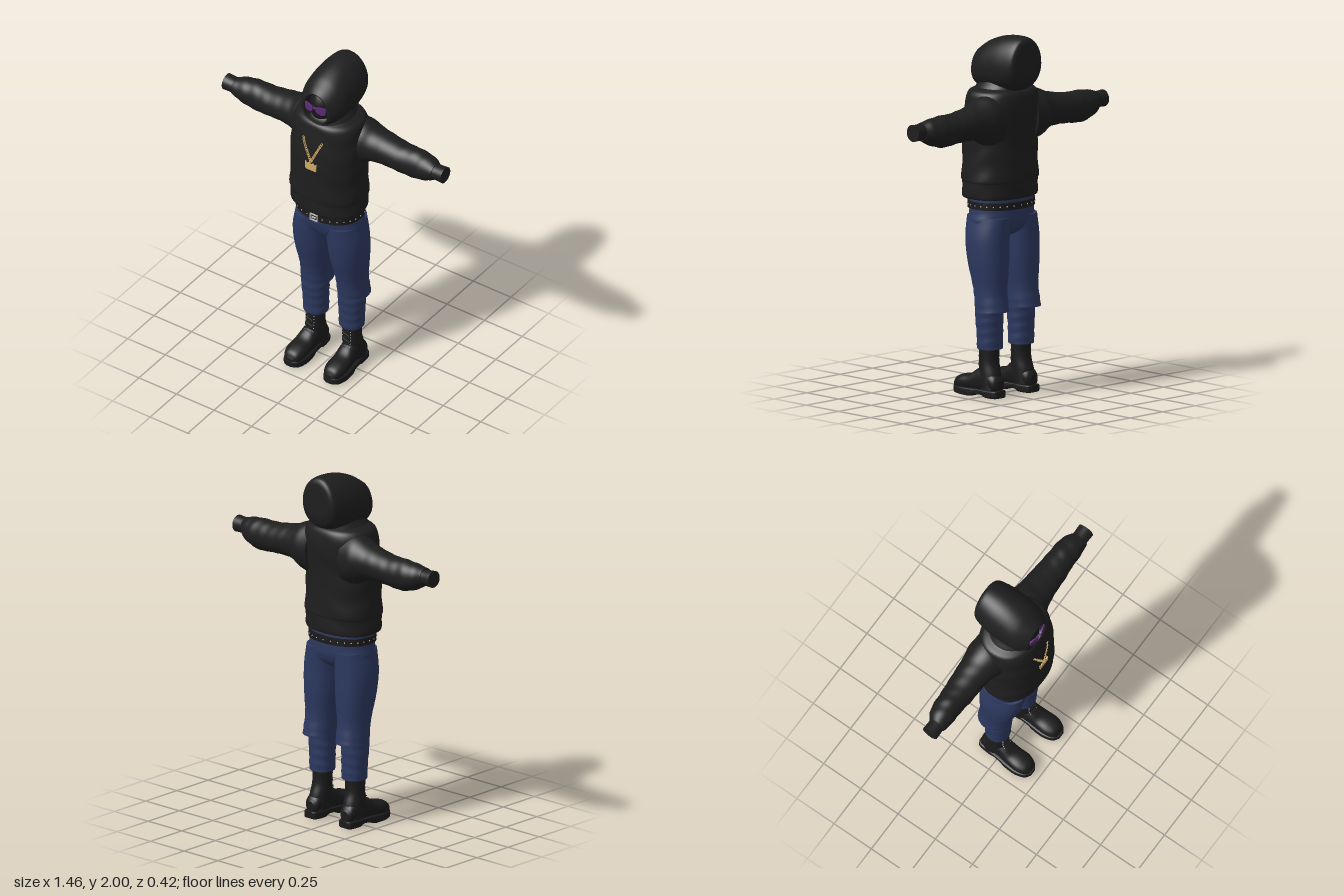
import * as THREE from 'three';

const mat = (name, color) => {
  const m = new THREE.MeshStandardMaterial({ color });
  m.name = name;
  return m;
};

// Closed loft through sections [position, centreA, centreB, radiusA, radiusB].
// axis y: A=x B=z; axis x: A=y B=z; axis z: A=x B=y.
function loft(sections, axis, { n = 2, steps = 5, sides = 40, egg = 0, wrinkle = null, smooth = true } = {}) {
  const centres = new THREE.CatmullRomCurve3(sections.map(s => new THREE.Vector3(s[0], s[1], s[2])), false, 'catmullrom', 0.5);
  const radii = new THREE.CatmullRomCurve3(sections.map(s => new THREE.Vector3(s[3], s[4], 0)), false, 'catmullrom', 0.5);
  const rows = smooth ? (sections.length - 1) * steps : sections.length - 1;
  const pos = [], idx = [];
  const put = (p, a, b) => pos.push(...(axis === 'y' ? [a, p, b] : axis === 'x' ? [p, a, b] : [a, b, p]));
  const ring = i => {
    const c = centres.getPoint(i / rows), r = radii.getPoint(i / rows);
    for (let j = 0; j < sides; j++) {
      const t = j / sides * Math.PI * 2, ct = Math.cos(t), st = Math.sin(t);
      const k = wrinkle ? 1 + wrinkle(c.x, t) : 1;
      const a = Math.sign(ct) * Math.abs(ct) ** (2 / n) * r.x * k * (1 - egg * st);
      put(c.x, c.y + a, c.z + Math.sign(st) * Math.abs(st) ** (2 / n) * r.y * k);
    }
    return c;
  };
  for (let i = 0; i <= rows; i++) ring(i);
  for (let i = 0; i < rows; i++) for (let j = 0; j < sides; j++) {
    const a = i * sides + j, b = i * sides + (j + 1) % sides;
    idx.push(a, b, a + sides, b, b + sides, a + sides);
  }
  for (const end of [0, rows]) {
    const base = pos.length / 3, c = ring(end), mid = base + sides;
    put(c.x, c.y, c.z);
    for (let j = 0; j < sides; j++) {
      const a = base + j, b = base + (j + 1) % sides;
      idx.push(...(end ? [a, b, mid] : [b, a, mid]));
    }
  }
  // Turn every face outward using the signed volume
  const v = i => new THREE.Vector3().fromArray(pos, i * 3);
  let volume = 0;
  for (let i = 0; i < idx.length; i += 3) volume += v(idx[i]).dot(v(idx[i + 1]).cross(v(idx[i + 2])));
  if (volume < 0) idx.reverse();
  const g = new THREE.BufferGeometry();
  g.setAttribute('position', new THREE.Float32BufferAttribute(pos, 3));
  g.setIndex(idx);
  g.computeVertexNormals();
  return g;
}

export function createModel() {
  const model = new THREE.Group();
  const cloth = mat('black cloth', 0x1e1e1e), leather = mat('black leather', 0x1b1b1b);
  const denim = mat('blue denim', 0x2c385f), gold = mat('gold', 0xd2ab62);
  const silver = mat('silver', 0xb4b4b4), purple = mat('purple lens', 0x5e2a7c);
  const maskMat = mat('mask cloth', 0x181818);
  const add = (name, geo, material, x = 0, y = 0, z = 0) => {
    const m = new THREE.Mesh(geo, material);
    m.name = name;
    m.position.set(x, y, z);
    model.add(m);
    return m;
  };

  // Sweater body with a rounded hem and soft shoulders
  add('sweater', loft([
    [1.1, 0, .008, .2, .15], [1.112, 0, .01, .222, .168], [1.19, 0, .01, .222, .17], [1.21, 0, .01, .226, .174],
    [1.32, 0, .01, .218, .172], [1.45, 0, .01, .22, .174], [1.56, 0, -.002, .218, .174], [1.64, 0, -.008, .212, .168],
    [1.69, 0, -.008, .195, .155], [1.71, 0, -.008, .15, .125]], 'y',
    { n: 2.3, sides: 56, wrinkle: (y, t) => .008 * Math.sin(y * 45 + 3 * Math.sin(t * 2)) }), cloth);

  // Hood, back to front, then turned inward at the face opening
  add('hood', loft([
    [-.208, 0, 1.868, .07, .075], [-.203, 0, 1.868, .1, .11], [-.18, 0, 1.857, .122, .142], [-.1, 0, 1.845, .138, .156],
    [-.02, 0, 1.838, .14, .15], [.05, 0, 1.825, .137, .138], [.1, 0, 1.812, .122, .122], [.135, 0, 1.805, .098, .106],
    [.145, 0, 1.803, .082, .1], [.135, 0, 1.8, .073, .094], [.09, 0, 1.8, .07, .09]], 'z',
    { egg: .1, n: 2.1, sides: 48 }), cloth);
  add('neckCollar', loft([
    [1.66, 0, -.005, .17, .15], [1.7, 0, -.005, .15, .145], [1.73, 0, -.01, .128, .14], [1.76, 0, -.02, .11, .12]], 'y'), cloth);

  // Masked face
  const face = add('faceMask', new THREE.SphereGeometry(1, 32, 24), maskMat, 0, 1.79, .04);
  face.scale.set(.084, .12, .102);

  // Glasses
  const lens = new THREE.Shape();
  lens.moveTo(-.028, .018);
  lens.quadraticCurveTo(0, .028, .03, .022);
  lens.quadraticCurveTo(.034, -.012, .018, -.024);
  lens.quadraticCurveTo(-.012, -.028, -.028, -.006);
  lens.closePath();
  for (const s of [1, -1]) {
    const shape = s > 0 ? lens : new THREE.Shape(lens.getPoints(8).map(p => new THREE.Vector2(-p.x, p.y)));
    add('lens', new THREE.ExtrudeGeometry(shape, { depth: .008, bevelEnabled: false, curveSegments: 8 }),
      purple, s * .038, 1.807, .145).rotation.y = s * .25;
  }
  add('glassesBridge', new THREE.BoxGeometry(.026, .01, .008), purple, 0, 1.815, .151);

  // Belt, buckle and studs
  add('belt', loft([[1.045, 0, 0, .2, .155], [1.085, 0, 0, .2, .155]], 'y', { n: 2.2, smooth: false, sides: 56 }), leather);
  for (const s of [1, -1]) {
    add('buckleSide', new THREE.BoxGeometry(.006, .044, .01), silver, s * .022, 1.065, .157);
    add('buckleBar', new THREE.BoxGeometry(.05, .006, .01), silver, 0, 1.065 + s * .019, .157);
  }
  add('bucklePin', new THREE.BoxGeometry(.026, .006, .01), silver, 0, 1.065, .158);
  for (let i = 1; i < 28; i++) {
    const t = i / 28 * Math.PI * 2, c = Math.cos(t), d = Math.sin(t);
    add('beltStud', new THREE.SphereGeometry(.004, 8, 6), silver,
      Math.sign(d) * Math.abs(d) ** (2 / 2.2) * .2, 1.065, Math.sign(c) * Math.abs(c) ** (2 / 2.2) * .155);
  }

  // Chain and crown-shaped pendant
  for (const s of [1, -1]) for (let i = 0; i <= 13; i++) {
    const t = i / 13;
    const link = add('chainLink', new THREE.TorusGeometry(.006, .0022, 6, 10), gold,
      s * (.06 - .058 * t), 1.6 - .128 * t, .169 + .019 * Math.sqrt(t));
    link.rotation.set(0, i % 2 ? .9 : 0, s * -.42);
    link.scale.y = 1.25;
  }
  const crown = new THREE.Shape();
  crown.moveTo(-.034, -.026);
  crown.lineTo(.034, -.026);
  [[.037, .024], [.024, .012], [.013, .022], [0, .012], [-.013, .022], [-.024, .012], [-.037, .024]].forEach(p => crown.lineTo(...p));
  crown.closePath();
  add('pendant', new THREE.ExtrudeGeometry(crown, { depth: .009, bevelEnabled: false }), gold, 0, 1.438, .182);

  // Hips
  add('hips', loft([
    [.89, 0, -.008, .1, .06], [.92, 0, -.006, .17, .108], [.97, 0, -.006, .205, .133], [1.03, 0, -.002, .196, .141],
    [1.12, 0, 0, .193, .14]], 'y', { n: 2.2 }), denim);

  const folds = (f, a) => (p, t) => a * Math.sin(p * f + 1.5 * Math.sin(t));
  for (const s of [1, -1]) {
    // Sleeve and covered hand
    add('sleeve', loft([
      [s * .12, 1.54, -.06, .15, .11], [s * .2, 1.545, -.06, .135, .115], [s * .26, 1.55, -.063, .104, .1], [s * .34, 1.545, -.066, .09, .09],
      [s * .44, 1.535, -.066, .085, .083], [s * .52, 1.532, -.068, .089, .075], [s * .58, 1.535, -.066, .08, .073],
      [s * .63, 1.54, -.06, .066, .064], [s * .665, 1.545, -.052, .05, .05]], 'x',
      { wrinkle: (x, t) => .03 * Math.min(1, Math.abs(x)) * Math.sin(Math.abs(x) * 85 + 2 * Math.sin(t)) }), cloth);
    add('cuff', loft([[s * .63, 1.545, -.052, .048, .048], [s * .67, 1.546, -.052, .044, .045],
      [s * .728, 1.547, -.052, .047, .047]], 'x'), cloth);

    // Trouser leg, with an overhanging fold at the calf
    add('trouserLeg', loft([
      [.48, s * .122, -.05, .087, .095], [.5, s * .121, -.049, .087, .095], [.6, s * .118, -.035, .087, .095],
      [.75, s * .116, -.018, .104, .118], [.88, s * .1135, -.008, .1085, .128], [1, s * .1, -.006, .098, .134]], 'y',
      { n: 2.15, wrinkle: (y, t) => y < .66 ? .012 * Math.sin(y * 110 + Math.sin(t)) : 0 }), denim);
    add('trouserCuff', loft([
      [.27, s * .119, -.033, .07, .068], [.36, s * .12, -.032, .072, .07], [.45, s * .121, -.03, .077, .074],
      [.53, s * .12, -.03, .078, .077]], 'y', { steps: 9, n: 2.15, wrinkle: folds(110, .016) }), denim);

    // Boot shaft, foot and sole
    add('bootShaft', loft([
      [.05, s * .126, -.055, .056, .062], [.13, s * .124, -.04, .056, .066], [.2, s * .122, -.03, .054, .056],
      [.3, s * .121, -.03, .056, .057]], 'y'), leather);
    add('bootFoot', loft([
      [-.122, s * .128, .07, .025, .03], [-.1, s * .128, .08, .047, .05], [-.03, s * .126, .1, .053, .075],
      [.03, s * .128, .09, .054, .066], [.08, s * .131, .075, .058, .048], [.14, s * .132, .068, .06, .042],
      [.185, s * .132, .058, .046, .034], [.203, s * .132, .046, .022, .014]], 'z', { n: 2.2 }), leather);
    add('bootSole', loft([
      [-.132, s * .129, .026, .025, .018], [-.115, s * .129, .024, .046, .022], [-.05, s * .129, .024, .053, .022],
      [-.02, s * .13, .03, .053, .016], [.03, s * .131, .029, .057, .017], [.06, s * .132, .023, .062, .023],
      [.13, s * .132, .023, .065, .023], [.185, s * .132, .025, .05, .021], [.21, s * .132, .028, .022, .016]], 'z',
      { n: 6, sides: 32 }), leather);

    // Laces and eyelets
    for (let i = 0; i < 6; i++) {
      const y = .15 + i * .02, z = .027 + Math.max(0, .18 - y) * .35;
      add('lace', new THREE.CylinderGeometry(.003, .003, .044, 6), maskMat, s * .122, y, z + .002)
        .rotation.z = Math.PI / 2 + (i % 2 ? .3 : -.3);
      for (const e of [1, -1])
        add('eyelet', new THREE.SphereGeometry(.0032, 6, 5), silver, s * .122 + e * .026, y, z - .006);
    }
  }
  return model;
}
